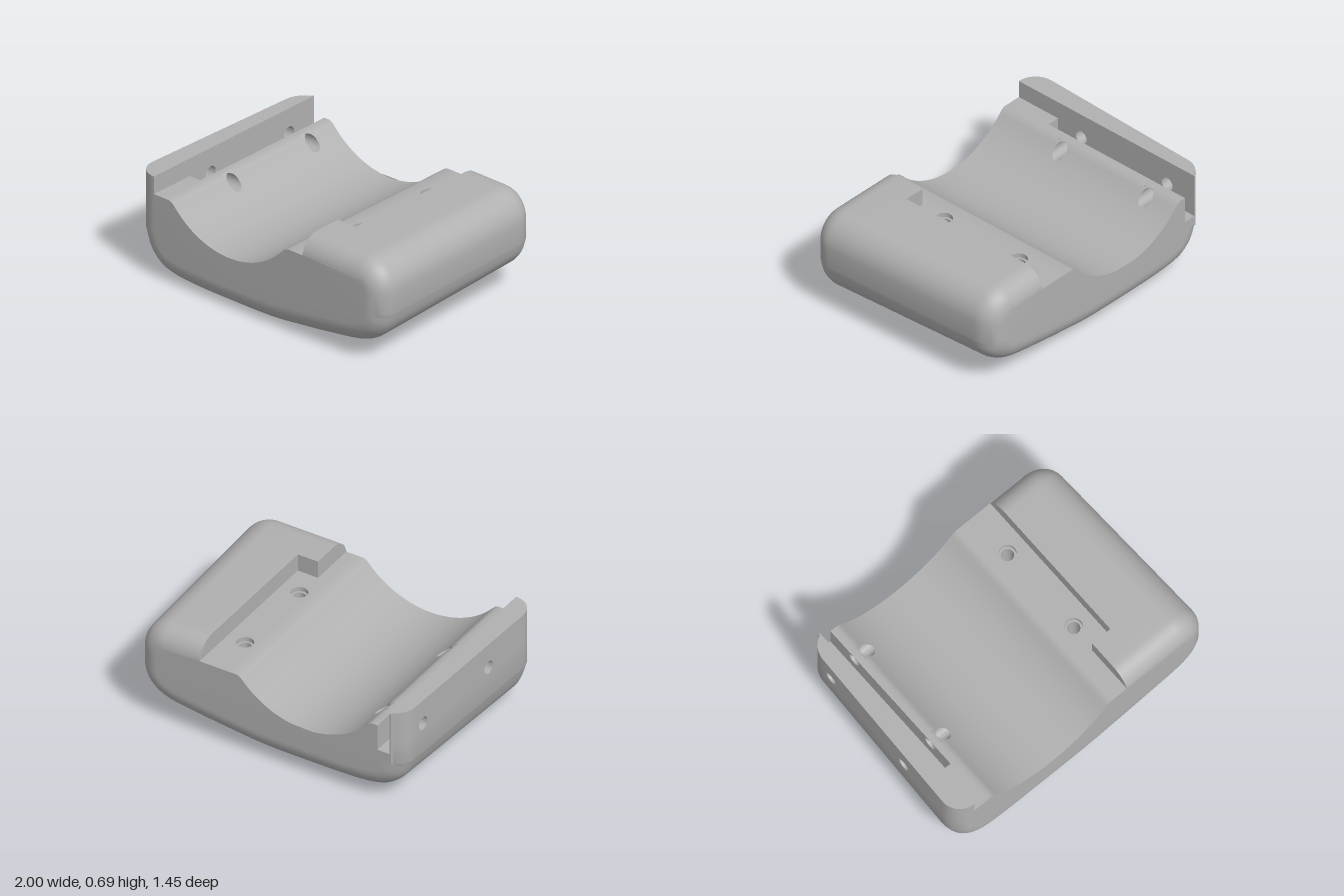
import * as THREE from 'three';
import { toCreasedNormals } from 'three/addons/utils/BufferGeometryUtils.js';

const TOP = 0.69, LEDGE = 0.57, FILLET = 0.14, HALF = 0.725, STEP_Z = 0.4;
const V2 = (x, y) => new THREE.Vector2(x, y);
const V3 = (x, y, z) => new THREE.Vector3(x, y, z);

// Half width of the block, narrowing towards the back
const width = (z) => 0.978 + 0.036 * z;

// Outer outline: down the wall, along the curved underside, up the rounded side
const under = new THREE.SplineCurve([
  [-1, 0.3], [-0.95, 0.16], [-0.86, 0.065], [-0.75, 0.022], [-0.57, 0.004], [-0.3, 0], [0.05, 0.004],
  [0.3, 0.03], [0.55, 0.063], [0.78, 0.103], [0.9, 0.165], [0.97, 0.25], [1, 0.35],
].map((p) => V2(...p))).getPoints(60);
const outer = [V2(-1, TOP), V2(-1, LEDGE), V2(-1, 0.47), ...under];
for (let i = 0; i <= 12; i++) {
  const a = (i / 12) * Math.PI / 2;
  outer.push(V2(0.8 + 0.2 * Math.cos(a), 0.49 + 0.2 * Math.sin(a)));
}
const normals = outer.map((p, i) => {
  if (i < 3) return V2(-1, 0);
  if (i === outer.length - 1) return V2(0, 1);
  const d = outer[i + 1].clone().sub(outer[i - 1]).normalize();
  return V2(d.y, -d.x);
});

// Trough from its +x lip to its -x lip, with a point at the lower edge of the holes
const trough = [V2(0.235, LEDGE), V2(0.21, 0.56)];
const addArc = (a0, a1, n, first) => {
  for (let i = first; i <= n; i++) {
    const a = a0 + (a1 - a0) * i / n;
    trough.push(V2(-0.25 + 0.594 * Math.cos(a), 0.939 + 0.594 * Math.sin(a)));
  }
};
addArc(5.547, 4.0525, 28, 0);
trough[trough.length - 1].y = 0.47;
addArc(4.0525, 3.878, 4, 1);
trough.push(V2(-0.71, 0.56), V2(-0.735, LEDGE));

// x of the -x flank of the trough at height y
function troughX(y) {
  for (let i = trough.length - 1; i > 0; i--) {
    const a = trough[i], b = trough[i - 1];
    if (y <= a.y + 1e-6 && y >= b.y - 1e-6) return a.x + (b.x - a.x) * (a.y - y) / (a.y - b.y);
  }
  return -0.735;
}

// Closed cross-section at depth z; the front part has a wider pad and no slot
function section(z, front) {
  const s = Math.max(0, Math.abs(z) - (HALF - FILLET));
  const inset = FILLET - Math.sqrt(Math.max(0, FILLET * FILLET - s * s));
  const tilt = 0.05 * THREE.MathUtils.clamp((0.58 - z) / 1.16, 0, 1);
  const ring = outer.map((p, i) => {
    let x = p.x * width(z) - normals[i].x * inset;
    let y = p.y - normals[i].y * inset + tilt * Math.max(0, 1 - p.y / 0.4);
    if (i < 4) x = Math.min(x, -0.87);
    if (i === outer.length - 1) y = Math.max(y, 0.575);
    return V3(x, y, z);
  });
  const bx = front ? 0.355 : 0.5;
  const slot = (y) => (front ? LEDGE : y);
  const inner = [
    [bx, Math.max(0.575, TOP - inset)], [bx, LEDGE], [front ? 0.34 : 0.43, LEDGE], [0.31, LEDGE],
    ...trough.map((p) => [p.x, p.y]),
    [-0.775, LEDGE], [-0.775, slot(0.47)], [-0.775, slot(0.39)],
    [-0.86, slot(0.39)], [-0.86, slot(0.47)], [-0.86, LEDGE], [-0.86, TOP],
  ];
  return ring.concat(inner.map(([x, y]) => V3(x, y, z)));
}

const WALL_HOLES = [-0.5, 0.21], PAD_HOLES = [-0.41, 0.21];
const near = (v, list, h) => list.some((c) => Math.abs(v - c) < h);

// Openings left in the surface for the drilled holes
function isOpen(a, b, z) {
  const my = (a.y + b.y) / 2;
  const inY = Math.min(a.y, b.y) > 0.469 && Math.max(a.y, b.y) < 0.571;
  if (a.x < -0.6 && inY && my < 0.569) return near(z, WALL_HOLES, 0.05);
  if (a.x < 0.431 && b.x > 0.309 && inY) return near(z, PAD_HOLES, 0.06);
  return false;
}

function makeMesh(name, points, material) {
  const geo = new THREE.BufferGeometry().setFromPoints(points);
  const mesh = new THREE.Mesh(toCreasedNormals(geo, 0.6), material);
  mesh.name = name;
  return mesh;
}

// Skin between successive loops of points
function skin(rows, skip = () => false) {
  const out = [];
  const tri = (a, b, c) => {
    if (b.clone().sub(a).cross(c.clone().sub(a)).length() > 1e-9) out.push(a, b, c);
  };
  for (let k = 0; k < rows.length - 1; k++) {
    const p = rows[k], q = rows[k + 1], n = p.length;
    for (let i = 0; i < n; i++) {
      const j = (i + 1) % n;
      if (skip(p[i], p[j], (p[i].z + q[i].z) / 2)) continue;
      tri(p[i], p[j], q[j]);
      tri(p[i], q[j], q[i]);
    }
  }
  return out;
}

// Circle (or square) of 32 points placed by a mapping of (u, v)
function loop(r, map, square = false) {
  return Array.from({ length: 32 }, (_, i) => {
    const c = Math.cos(i * Math.PI / 16), s = Math.sin(i * Math.PI / 16);
    const k = square ? r / Math.max(Math.abs(c), Math.abs(s)) : r;
    return map(k * c, k * s);
  });
}

export function createModel() {
  const group = new THREE.Group();
  group.name = 'cradleBlock';
  const grey = new THREE.MeshStandardMaterial({ color: 0xb0b0b0, side: THREE.DoubleSide });
  grey.name = 'plain grey';

  // Body
  const zs = [-0.55, -0.45, 0.16, 0.26, -0.47, -0.35, 0.15, 0.27];
  for (let i = 0; i <= 10; i++) {
    const z = HALF - FILLET + FILLET * Math.sin(i * Math.PI / 20);
    zs.push(z, -z);
  }
  zs.sort((a, b) => a - b);
  const rows = [
    ...zs.filter((z) => z < STEP_Z).map((z) => section(z, false)),
    section(STEP_Z, false), section(STEP_Z, true),
    ...zs.filter((z) => z > STEP_Z).map((z) => section(z, true)),
  ];
  const body = skin(rows, isOpen);
  [rows[0], rows[rows.length - 1]].forEach((ring, end) => {
    const faces = THREE.ShapeUtils.triangulateShape(ring.map((p) => V2(p.x, p.y)), []);
    for (const [a, b, c] of faces) body.push(ring[a], ring[end ? b : c], ring[end ? c : b]);
  });
  group.add(makeMesh('body', body, grey));

  // Cross holes through the wall, the slot and the trough flank
  for (const cz of WALL_HOLES) {
    const at = (fx) => (u, v) => V3(fx(0.52 + u, cz + v), 0.52 + u, cz + v);
    const faces = [(y, z) => -width(z), () => -0.86, () => -0.775, (y) => troughX(y)].map(at);
    const r = 0.045;
    for (const f of faces) {
      group.add(makeMesh('holeRim', skin([loop(0.05, f, true), loop(0.0475, f), loop(r, f)]), grey));
    }
    for (const k of [0, 2]) {
      group.add(makeMesh('crossHole', skin([loop(r, faces[k]), loop(r, faces[k + 1])]), grey));
    }
  }

  // Stepped blind holes in the pad
  for (const cz of PAD_HOLES) {
    const at = (y) => (u, v) => V3(0.37 + u, y, cz + v);
    group.add(makeMesh('padHole', skin([
      loop(0.06, at(LEDGE), true), loop(0.055, at(LEDGE)), loop(0.055, at(0.54)),
      loop(0.04, at(0.54)), loop(0.04, at(0.32)), loop(0, at(0.32)),
    ]), grey));
  }
  return group;
}
